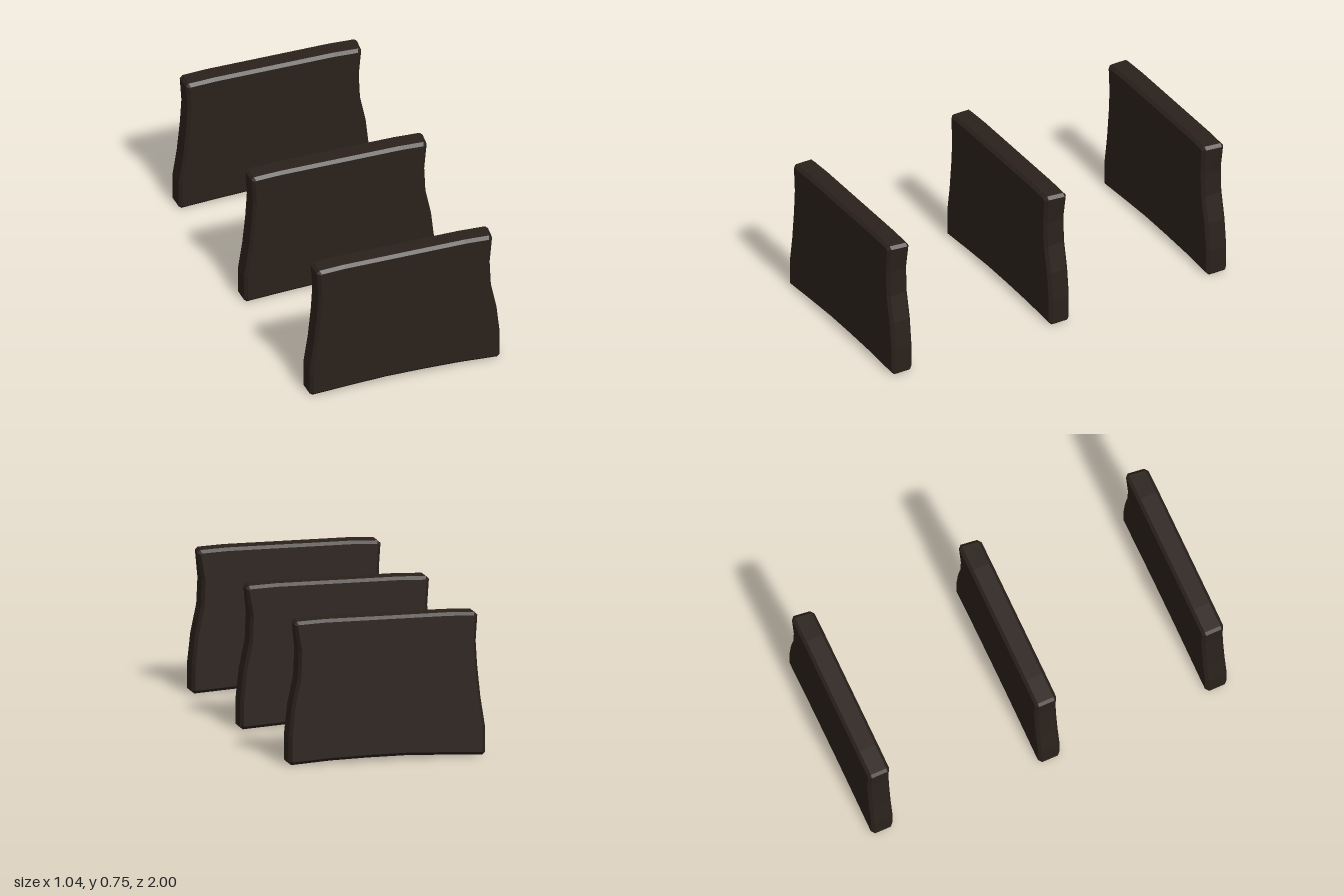
import * as THREE from 'three';

const THICKNESS = 0.12;
const BEVEL = 0.016;

// Panel silhouette: arched foot, waisted sides, slightly crowned top
const outline = [
  [-0.507, 0], [-0.3, 0.011], [-0.1, 0.019], [0.1, 0.018], [0.3, 0.013], [0.507, 0],
  [0.521, 0.013], [0.521, 0.153], [0.504, 0.306], [0.473, 0.452], [0.468, 0.59],
  [0.493, 0.734], [0.477, 0.749], [0.33, 0.755], [-0.33, 0.755], [-0.467, 0.749],
  [-0.482, 0.734], [-0.473, 0.6], [-0.481, 0.47], [-0.498, 0.306], [-0.522, 0.153],
  [-0.522, 0.013],
];

function panelGeometry() {
  const shape = new THREE.Shape(outline.map(([x, y]) => new THREE.Vector2(x, y)));
  const geometry = new THREE.ExtrudeGeometry(shape, {
    depth: THICKNESS - 2 * BEVEL,
    bevelEnabled: true,
    bevelSegments: 1,
    bevelSize: BEVEL,
    bevelThickness: BEVEL,
    bevelOffset: -BEVEL,
  });
  geometry.translate(0, 0, BEVEL - THICKNESS / 2);

  // The upper left flank tapers inward towards the front
  const p = geometry.attributes.position;
  for (let i = 0; i < p.count; i++) {
    if (p.getX(i) < 0.4) continue;
    const lift = THREE.MathUtils.smoothstep(p.getY(i), 0.55, 0.74);
    const forward = p.getZ(i) / THICKNESS + 0.5;
    p.setX(i, p.getX(i) - 0.015 * lift * forward);
  }
  geometry.computeVertexNormals();
  return geometry;
}

export function createModel() {
  const model = new THREE.Group();
  model.name = 'panelSet';
  const material = new THREE.MeshStandardMaterial({ color: 0x2a211b, flatShading: true });
  const geometry = panelGeometry();

  // Three identical upright panels in a row
  const rows = { frontPanel: 0.94, middlePanel: 0, backPanel: -0.94 };
  for (const [name, z] of Object.entries(rows)) {
    const panel = new THREE.Mesh(geometry, material);
    panel.name = name;
    panel.position.z = z;
    model.add(panel);
  }
  return model;
}
